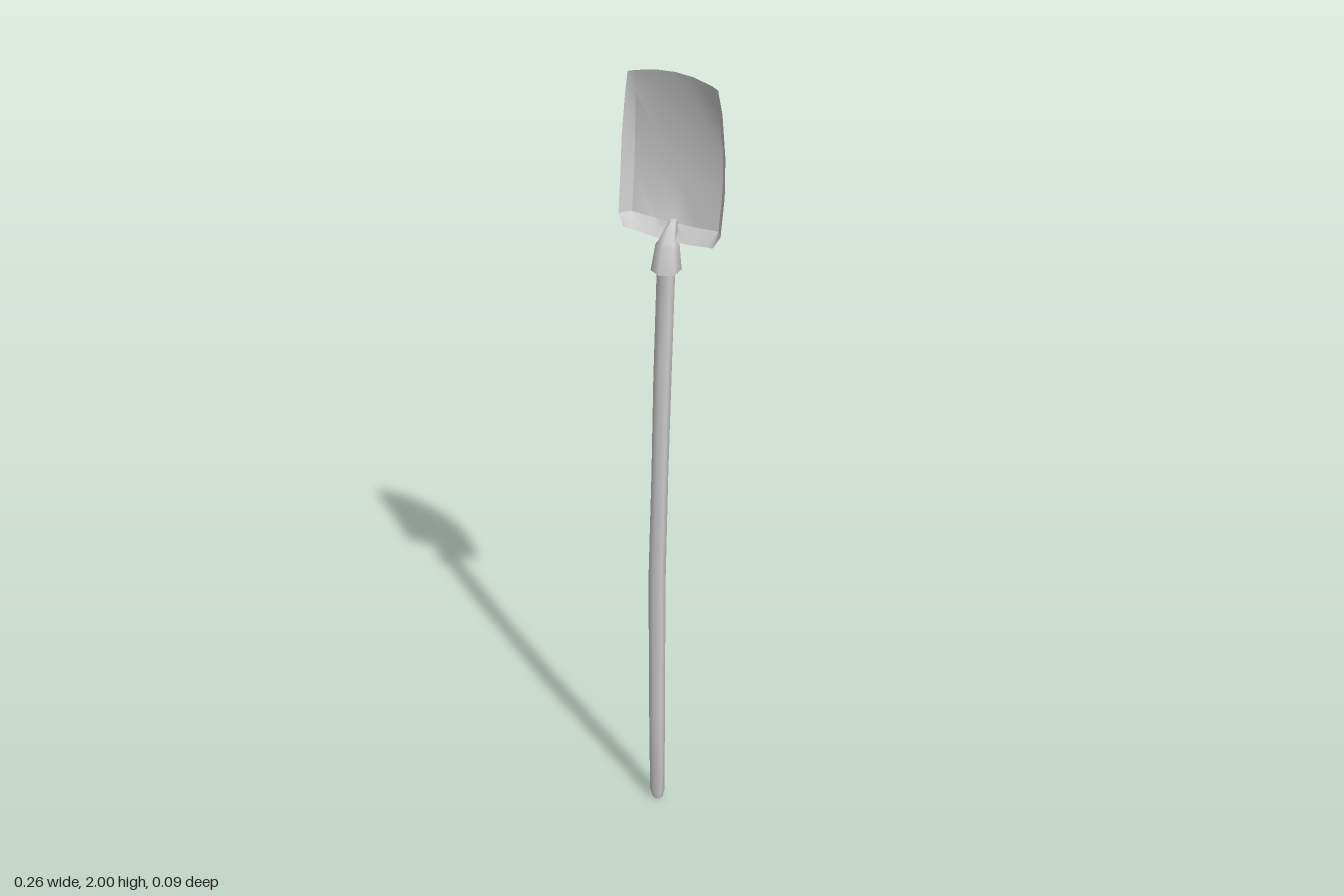
import * as THREE from 'three';
import { toCreasedNormals } from 'three/addons/utils/BufferGeometryUtils.js';

// Indexed geometry from points and triangles, smooth except at sharp folds
function build(points, faces, crease) {
  const g = new THREE.BufferGeometry();
  g.setAttribute('position', new THREE.Float32BufferAttribute(points, 3));
  g.setIndex(faces);
  return toCreasedNormals(g, crease);
}

// Closed tube through rings [x, y, z, radius], listed from bottom to top
function loft(rings, sides) {
  const points = [], faces = [];
  for (const [x, y, z, r] of rings) {
    for (let i = 0; i < sides; i++) {
      const a = (i / sides) * Math.PI * 2;
      points.push(x + Math.sin(a) * r, y, z + Math.cos(a) * r);
    }
  }
  for (let k = 0; k < rings.length - 1; k++) {
    for (let i = 0; i < sides; i++) {
      const a = k * sides + i, b = k * sides + (i + 1) % sides;
      faces.push(a, b, b + sides, a, b + sides, a + sides);
    }
  }
  const top = (rings.length - 1) * sides;
  for (let i = 1; i < sides - 1; i++) {
    faces.push(0, i + 1, i, top, top + i, top + i + 1);
  }
  return build(points, faces, 1.1);
}

// Dished blade: a curved floor with rims folded forward at the sides and bottom
function bladeGeometry() {
  const cols = [-1, -0.85, -0.4, 0, 0.4, 0.85, 1];
  // y, half width, floor z, side rim depth, bow of the row in y
  const rows = [
    [1.985, 0.112, -0.024, 0.002, 0.015],
    [1.93, 0.121, -0.038, 0.012, 0.008],
    [1.83, 0.130, -0.049, 0.024, 0],
    [1.74, 0.132, -0.046, 0.026, 0],
    [1.65, 0.130, -0.031, 0.025, -0.012],
    [1.622, 0.115, -0.002, 0.003, -0.016],
  ];
  const points = [], faces = [], n = cols.length;
  for (const [y, w, z, rim, bow] of rows) {
    for (const c of cols) {
      const edge = Math.abs(c) === 1 ? rim : 0;
      points.push(c * w, y + bow * (1 - c * c), z + 0.012 * c * c + edge + 0.004 * c);
    }
  }
  for (let r = 0; r < rows.length - 1; r++) {
    for (let c = 0; c < n - 1; c++) {
      const a = r * n + c, b = a + n;
      faces.push(a, b, b + 1, a, b + 1, a + 1);
    }
  }
  return build(points, faces, 0.6);
}

export function createModel() {
  const model = new THREE.Group();
  model.name = 'shovel';
  const grey = new THREE.MeshStandardMaterial({ color: 0xcccccc, side: THREE.DoubleSide });
  grey.name = 'light grey';
  const add = (name, geometry) => {
    const mesh = new THREE.Mesh(geometry, grey);
    mesh.name = name;
    model.add(mesh);
  };

  // Slightly crooked wooden pole
  add('handle', loft([
    [-0.032, 0, 0.01, 0.012],
    [-0.033, 0.025, 0.01, 0.019],
    [-0.031, 0.3, 0.014, 0.02],
    [-0.025, 0.7, 0.022, 0.021],
    [-0.017, 1.0, 0.021, 0.02],
    [-0.012, 1.25, 0.017, 0.021],
    [-0.008, 1.56, 0.004, 0.021],
  ], 6));

  // Socket with a neck that runs on to the blade
  add('socket', loft([
    [-0.009, 1.535, 0.003, 0.035],
    [-0.007, 1.6, 0, 0.027],
    [-0.006, 1.608, -0.002, 0.022],
    [-0.003, 1.65, -0.021, 0.009],
  ], 6));

  add('blade', bladeGeometry());
  return model;
}
